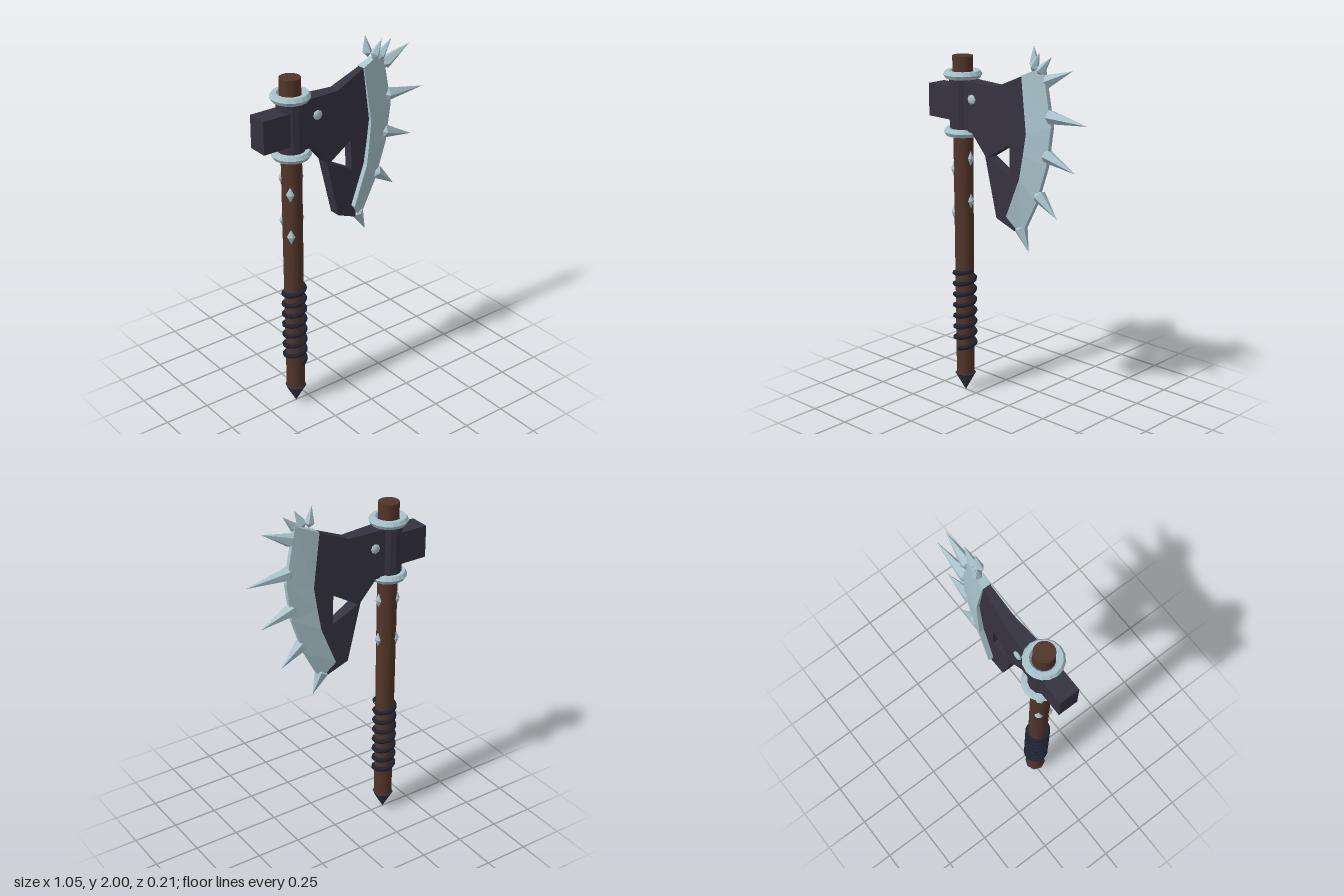
import * as THREE from 'three';

const mat = (name, color) => {
  const m = new THREE.MeshStandardMaterial({ color });
  m.name = name;
  return m;
};

// Faceted normals
function flat(geo) {
  const g = geo.index ? geo.toNonIndexed() : geo;
  g.computeVertexNormals();
  return g;
}

export function createModel() {
  const wood = mat('brown wood', 0x523529);
  const iron = mat('dark iron', 0x363341);
  const steel = mat('pale steel', 0xa9c3cc);
  const cord = mat('navy cord', 0x1d2333);

  const root = new THREE.Group();
  root.name = 'spikedAxe';
  const SX = -0.33; // shaft axis

  const add = (name, geo, material, x = 0, y = 0, z = 0, parent = root) => {
    const m = new THREE.Mesh(geo, material);
    m.name = name;
    m.position.set(x, y, z);
    parent.add(m);
    return m;
  };
  const lathe = (pts, sides) =>
    flat(new THREE.LatheGeometry(pts.map(p => new THREE.Vector2(...p)), sides));

  // Shaft and pointed foot
  add('shaft', new THREE.CylinderGeometry(0.055, 0.05, 1.79, 20), wood, SX, 1.003, 0);
  add('footPoint', lathe([[0, 0], [0.058, 0.105], [0.05, 0.115], [0, 0.115]], 8), iron, SX);

  // Cord wound round the grip
  const turns = 7.25;
  const helix = [];
  for (let i = 0; i <= turns * 16; i++) {
    const a = (i / 16) * Math.PI * 2;
    helix.push(new THREE.Vector3(
      Math.sin(a) * 0.055, 0.265 + 0.455 * i / (turns * 16), Math.cos(a) * 0.055));
  }
  add('gripCord', new THREE.TubeGeometry(
    new THREE.CatmullRomCurve3(helix), 240, 0.013, 6), cord, SX);

  // Socket, its two collars and the hammer block
  add('socket', flat(new THREE.CylinderGeometry(0.072, 0.072, 0.31, 14)), iron, SX, 1.645, 0);
  for (const y of [1.493, 1.8]) {
    const ring = flat(new THREE.TorusGeometry(0.081, 0.023, 6, 16));
    ring.rotateX(Math.PI / 2);
    add('collar', ring, steel, SX, y, 0);
  }
  add('hammerBlock', new THREE.BoxGeometry(0.17, 0.177, 0.112), iron, -0.445, 1.645, 0);

  // Blade body with triangular opening, thinning towards the edge
  const toPath = pts => pts.map(p => new THREE.Vector2(...p));
  const outline = new THREE.Shape(toPath([
    [-0.3, 1.505], [-0.225, 1.505], [-0.135, 1.395], [-0.06, 1.07], [0.06, 1.02],
    [0.06, 1.1], [0.145, 1.315], [0.18, 1.555], [0.13, 1.85], [0.11, 1.845],
    [-0.06, 1.77], [-0.3, 1.775]]));
  outline.holes.push(new THREE.Path(toPath([[0.027, 1.475], [-0.118, 1.388], [0.03, 1.31]])));
  const blade = new THREE.ExtrudeGeometry(outline, { depth: 1, bevelEnabled: false });
  const bp = blade.attributes.position;
  for (let i = 0; i < bp.count; i++) {
    const half = 0.045 - (bp.getX(i) + 0.25) * 0.07;
    bp.setZ(i, (bp.getZ(i) - 0.5) * 2 * half);
  }
  add('bladeBody', flat(blade), iron);

  // Steel cutting edge: inner x, inner y, inner half depth, outer x, outer y
  const sections = [
    [0.108, 1.847, 0.026, 0.24, 1.905],
    [0.15, 1.555, 0.036, 0.297, 1.605],
    [0.135, 1.44, 0.042, 0.267, 1.395],
    [0.115, 1.315, 0.048, 0.2, 1.195],
    [0.03, 1.1, 0.055, 0.098, 1.0]];
  const verts = [];
  const idx = [];
  const tip = 0.012;
  sections.forEach(([xi, yi, h, xo, yo], k) => {
    verts.push(xi, yi, h, xo, yo, tip, xo, yo, -tip, xi, yi, -h);
    if (k === 0) return;
    for (let j = 0; j < 4; j++) {
      const n = (j + 1) % 4, a = (k - 1) * 4, d = k * 4;
      idx.push(a + j, d + j, d + n, a + j, d + n, a + n);
    }
  });
  const e = (sections.length - 1) * 4;
  idx.push(0, 1, 2, 0, 2, 3, e, e + 2, e + 1, e, e + 3, e + 2);
  const edge = new THREE.BufferGeometry();
  edge.setAttribute('position', new THREE.Float32BufferAttribute(verts, 3));
  edge.setIndex(idx);
  add('cuttingEdge', flat(edge), steel);

  // Spikes along the edge: base x, y, z, tip x, y, z, radius
  const spikes = new THREE.Group();
  spikes.name = 'edgeSpikes';
  root.add(spikes);
  const up = new THREE.Vector3(0, 1, 0);
  for (const [bx, by, bz, tx, ty, tz, r] of [
    [0.265, 1.835, 0, 0.425, 1.905, 0, 0.036],
    [0.28, 1.658, 0, 0.52, 1.643, 0, 0.038],
    [0.26, 1.455, 0, 0.448, 1.39, 0, 0.038],
    [0.21, 1.235, 0, 0.332, 1.132, 0, 0.038],
    [0.085, 1.035, 0, 0.142, 0.915, 0, 0.038],
    [0.225, 1.885, 0.01, 0.297, 1.962, 0.01, 0.027],
    [0.185, 1.9, 0.015, 0.225, 1.975, 0.02, 0.026],
    [0.16, 1.91, -0.015, 0.15, 2.0, -0.022, 0.027]]) {
    const dir = new THREE.Vector3(tx - bx, ty - by, tz - bz);
    const geo = lathe([[0, -0.03], [r, 0], [0, dir.length()]], 5);
    const s = add('spike', geo, steel, bx, by, bz, spikes);
    s.quaternion.setFromUnitVectors(up, dir.normalize());
  }

  // Rivets on both blade faces
  for (const side of [1, -1]) {
    const rivet = flat(new THREE.SphereGeometry(0.027, 8, 5));
    rivet.rotateX(Math.PI / 2);
    rivet.scale(1, 1, 0.4);
    add('rivet', rivet, steel, -0.208, 1.687, side * 0.06);
  }

  // Leaf-shaped studs in three columns round the shaft: angle from +x to +z, heights
  for (const [deg, heights] of [[135, [1.285, 1.045]], [225, [1.355, 1.115]], [0, [1.35, 1.115]]]) {
    const a = THREE.MathUtils.degToRad(deg);
    for (const y of heights) {
      const stud = lathe([[0, -0.042], [0.022, 0], [0, 0.042]], 6);
      stud.scale(0.7, 1, 1);
      const m = add('stud', stud, steel,
        SX + Math.cos(a) * 0.053, y, Math.sin(a) * 0.053);
      m.rotation.y = -a;
    }
  }
  return root;
}
